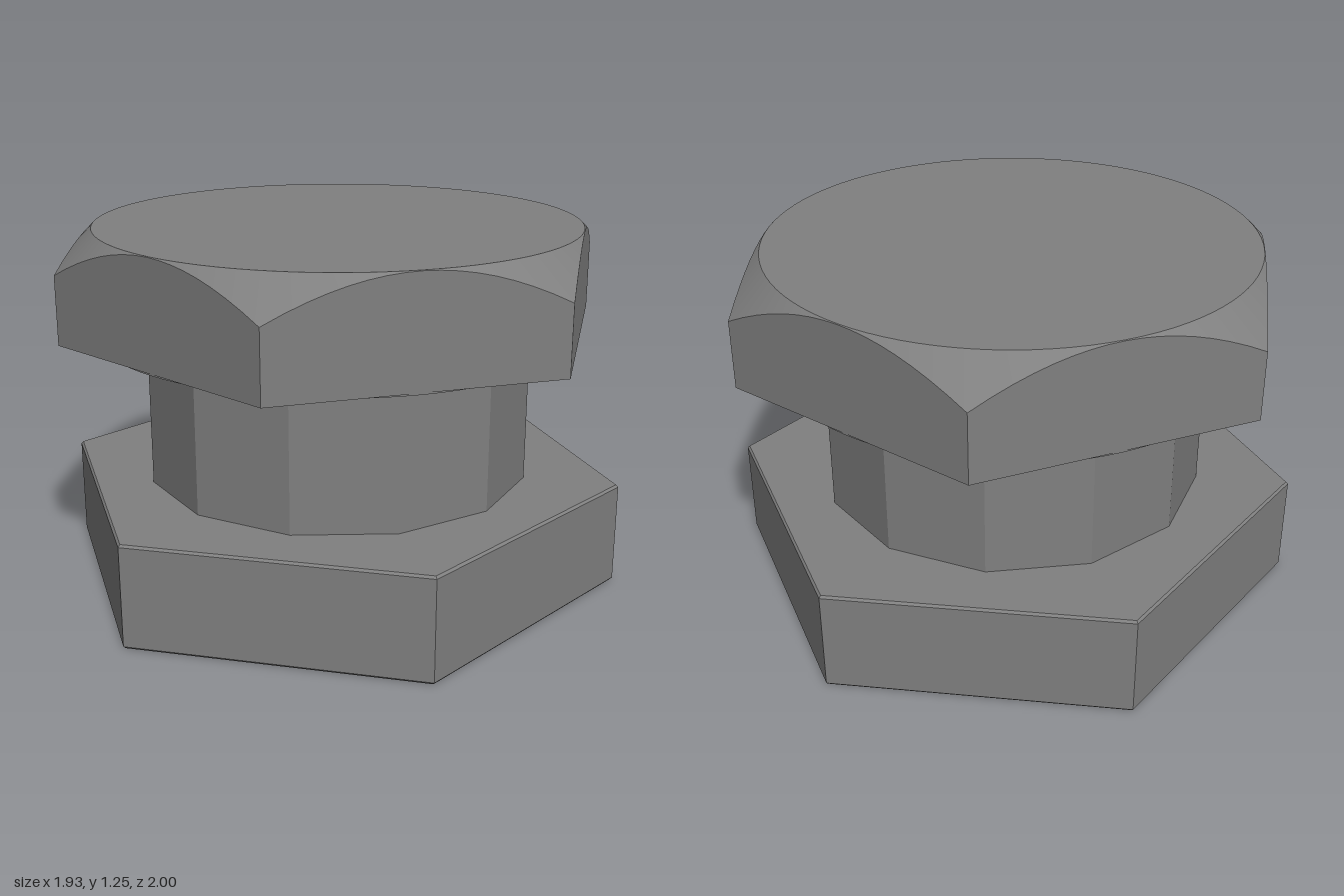
import * as THREE from 'three';
import { toCreasedNormals } from 'three/addons/utils/BufferGeometryUtils.js';

const CREASE = 0.3;
const APOTHEM = 0.837; // flat-side radius of the head
const HEAD_BOTTOM = 0.877;
const HEAD_TOP = 1.245;

// Hexagon radius at an angle, with corners on the x axis
function hexRadius(angle) {
  const sector = Math.PI / 3;
  return APOTHEM / Math.cos((angle % sector) - sector / 2);
}

// Joins rings, each a function angle -> [radius, y], listed from the top centre outward and down
function ringSurface(rings, segments) {
  const positions = [];
  const point = (ring, step) => {
    const angle = ((step % segments) / segments) * Math.PI * 2;
    const [radius, y] = ring(angle);
    return [radius * Math.cos(angle), y, radius * Math.sin(angle)];
  };
  for (let i = 0; i < rings.length - 1; i++) {
    for (let s = 0; s < segments; s++) {
      const a = point(rings[i], s), a2 = point(rings[i], s + 1);
      const b = point(rings[i + 1], s), b2 = point(rings[i + 1], s + 1);
      if (i > 0) positions.push(...a, ...a2, ...b);
      positions.push(...a2, ...b2, ...b);
    }
  }
  const geometry = new THREE.BufferGeometry();
  geometry.setAttribute('position', new THREE.Float32BufferAttribute(positions, 3));
  return geometry;
}

export function createModel() {
  const model = new THREE.Group();
  model.name = 'hexBolt';
  const steel = new THREE.MeshStandardMaterial({ color: 0x808080, side: THREE.DoubleSide });
  steel.name = 'grey steel';

  const add = (name, geometry) => {
    const mesh = new THREE.Mesh(toCreasedNormals(geometry, CREASE), steel);
    mesh.name = name;
    model.add(mesh);
    return mesh;
  };

  // Hexagonal base with a fine bevel, corners pointing front and back
  const bevel = 0.008;
  const baseProfile = [
    [0, 0], [1 - bevel, 0], [1, bevel], [1, 0.36 - bevel], [1 - bevel, 0.36], [0, 0.36],
  ].map(([x, y]) => new THREE.Vector2(x, y));
  add('base', new THREE.LatheGeometry(baseProfile, 6));

  // Twelve-sided shank
  const shankHeight = HEAD_BOTTOM - 0.36;
  add('shank', new THREE.CylinderGeometry(0.672, 0.672, shankHeight, 12))
    .position.y = 0.36 + shankHeight / 2;

  // Hollow hexagonal head: flat disc, 45 degree conical chamfer, walls, underside with a round opening
  add('head', ringSurface([
    () => [0, HEAD_TOP],
    () => [APOTHEM - 0.002, HEAD_TOP],
    (t) => [hexRadius(t), HEAD_TOP - (hexRadius(t) - APOTHEM + 0.002)],
    (t) => [hexRadius(t), HEAD_BOTTOM],
    () => [APOTHEM - 0.002, HEAD_BOTTOM],
  ], 96));

  // Low lip around the opening under the head
  add('headLip', new THREE.CylinderGeometry(0.835, 0.835, 0.006, 96, 1, true))
    .position.y = HEAD_BOTTOM - 0.003;

  return model;
}
